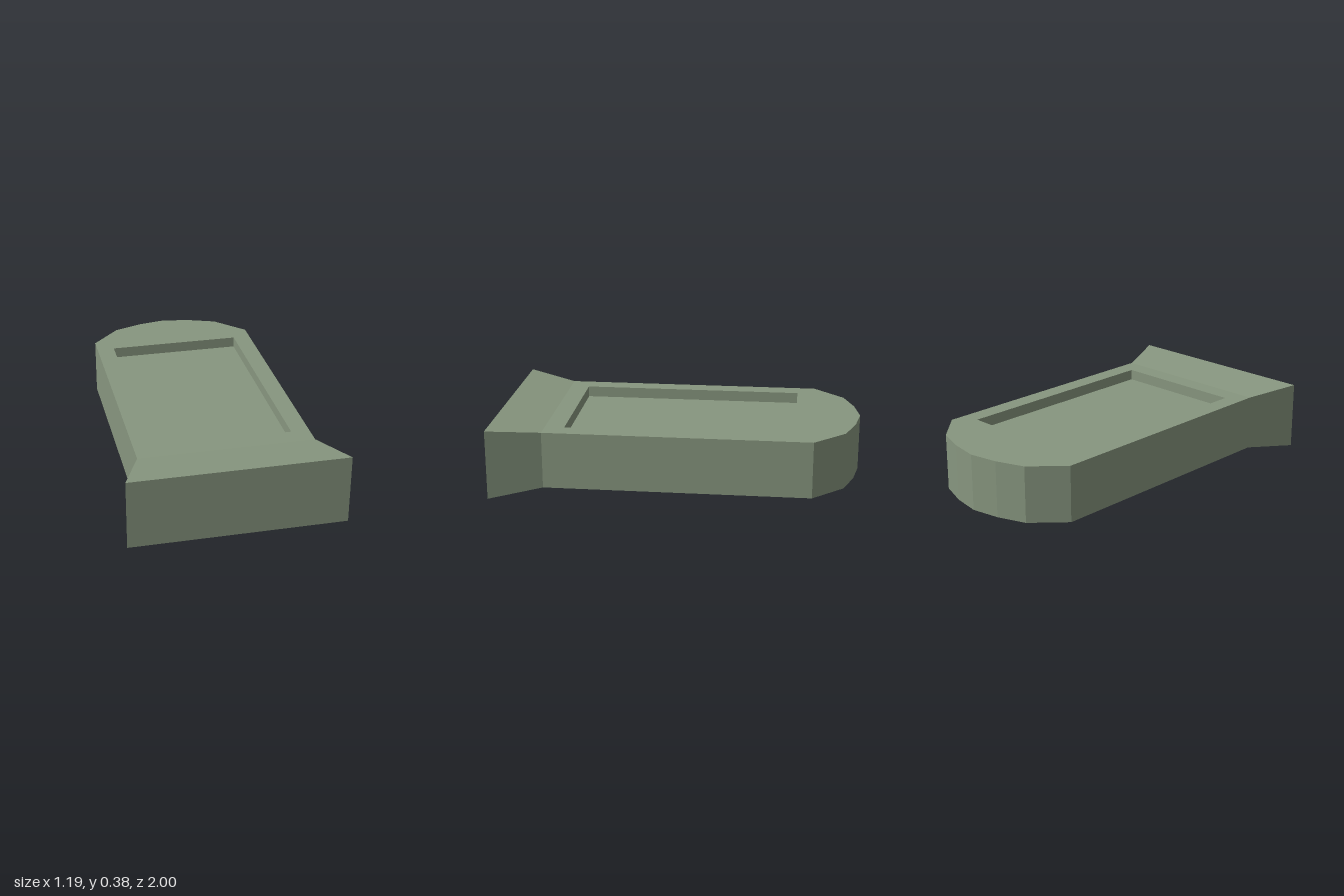
import * as THREE from 'three';

const BOTTOM = 0.034, TOP = 0.343, HEIGHT = 0.377; // slab faces and full foot height
const NECK = 0.67, FRONT = 0.946;                  // foot runs from neck to front
const HALF = 0.47, FOOT_HALF = 0.577;
const PANEL = { half: 0.372, back: -0.66, front: 0.565, depth: 0.06 };

export function createModel() {
  const material = new THREE.MeshStandardMaterial({ color: 0x87967f, flatShading: true });
  const stone = new THREE.Group();
  stone.name = 'stoneTablet';
  const add = (name, geometry) => {
    const mesh = new THREE.Mesh(geometry, material);
    mesh.name = name;
    stone.add(mesh);
    return mesh;
  };

  // Arched slab with a rectangular opening, drawn in plan (shape y = -z)
  const arch = [[HALF, 0.758], [0.312, 0.924], [0.157, 0.98], [0, 1.008]];
  const mirrored = arch.slice(0, -1).reverse().map(([x, y]) => [-x, y]);
  const outline = [[-HALF, -NECK], [HALF, -NECK], ...arch, ...mirrored];
  const shape = new THREE.Shape(outline.map(([x, y]) => new THREE.Vector2(x, y)));
  const { half, back, front, depth } = PANEL;
  shape.holes.push(new THREE.Path([
    [-half, -front], [-half, -back], [half, -back], [half, -front],
  ].map(([x, y]) => new THREE.Vector2(x, y))));
  const slab = new THREE.ExtrudeGeometry(shape, { depth: TOP - BOTTOM, bevelEnabled: false });
  slab.rotateX(-Math.PI / 2).translate(0, BOTTOM, 0);
  add('archedSlab', slab);

  // Recessed panels on both faces
  for (const side of [1, -1]) {
    const plane = new THREE.PlaneGeometry(2 * half, front - back).rotateX(-side * Math.PI / 2);
    const y = side > 0 ? TOP - depth : BOTTOM + depth;
    plane.translate(0, y, (front + back) / 2);
    add(side > 0 ? 'upperPanel' : 'lowerPanel', plane);
  }

  // Foot flares in width and height from the neck to the front
  const foot = new THREE.BoxGeometry(2, 1, 1);
  const p = foot.attributes.position;
  for (let i = 0; i < p.count; i++) {
    const flared = p.getZ(i) > 0, upper = p.getY(i) > 0;
    p.setXYZ(i,
      p.getX(i) * (flared ? FOOT_HALF : HALF),
      flared ? (upper ? HEIGHT : 0) : (upper ? TOP : BOTTOM),
      flared ? FRONT : NECK);
  }
  foot.setIndex(Array.from(foot.index.array).slice(0, 30)); // omit the hidden back face
  foot.clearGroups();
  foot.computeVertexNormals();
  add('flaredFoot', foot);

  // The tablet lies slightly turned
  stone.rotation.y = -THREE.MathUtils.degToRad(5);
  stone.position.set(0.059, 0, 0.005);
  const model = new THREE.Group();
  model.name = 'model';
  model.add(stone);
  return model;
}
